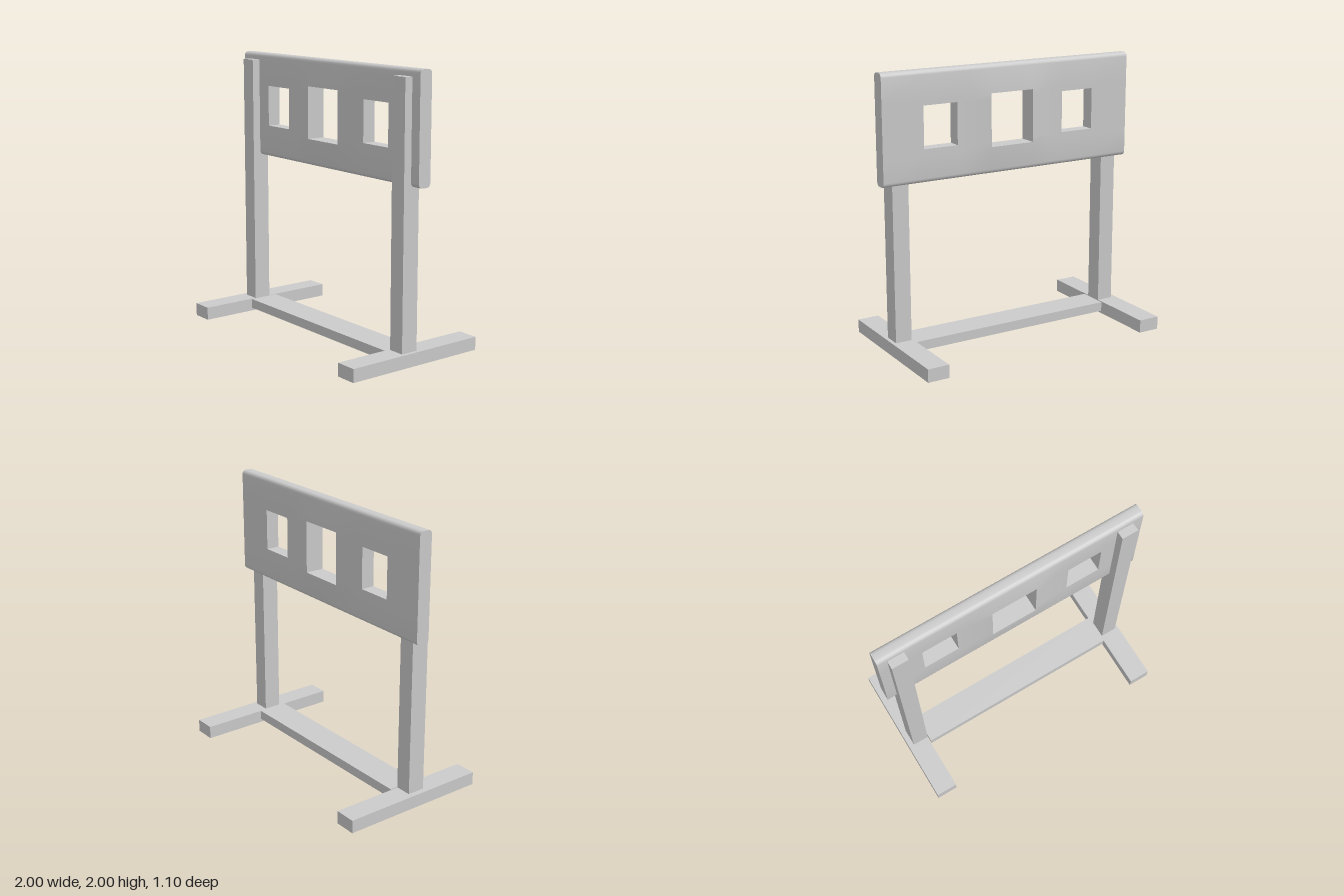
import * as THREE from 'three';
import { toCreasedNormals } from 'three/addons/utils/BufferGeometryUtils.js';

const material = new THREE.MeshStandardMaterial({ color: 0xcccccc, side: THREE.FrontSide });

// Box given by its min and max corners
function box(name, [x0, y0, z0], [x1, y1, z1]) {
  const mesh = new THREE.Mesh(new THREE.BoxGeometry(x1 - x0, y1 - y0, z1 - z0), material);
  mesh.position.set((x0 + x1) / 2, (y0 + y1) / 2, (z0 + z1) / 2);
  mesh.name = name;
  return mesh;
}

// Board: rounded cross-section swept along x, swelling around the middle opening
function boardGeometry() {
  const bottom = 1.225, top = 2, half = 0.05, r = 0.03, steps = 4;
  const xs = [-1, -0.69, -0.43, -0.33, -0.17, 0.17, 0.33, 0.43, 0.69, 1];
  const ys = [bottom + r, 1.42, 1.46, 1.76, 1.8, top - r];
  const holes = [[-0.69, -0.43, 1.46, 1.76], [-0.17, 0.17, 1.42, 1.8], [0.43, 0.69, 1.46, 1.76]];
  const ramp = (v, inner, outer) => THREE.MathUtils.clamp((v - inner) / (outer - inner), 0, 1);
  const depth = (x, y) => half + 0.02 * (1 - Math.max(
    ramp(Math.abs(x), 0.17, 0.33), ramp(y, 1.8, top - r), ramp(-y, -1.42, -bottom - r)));

  // Closed section: up the front, over the top, down the back, under the bottom
  const section = (x) => {
    const pts = ys.map((y) => [x, y, depth(x, y)]);
    const arc = (cz, cy, start) => {
      for (let k = 1; k <= steps; k++) {
        const a = start + (k / steps) * Math.PI / 2;
        pts.push([x, cy + r * Math.sin(a), cz + r * Math.cos(a)]);
      }
    };
    const c = half - r;
    arc(c, top - r, 0);
    pts.push([x, top, -c]);
    arc(-c, top - r, Math.PI / 2);
    [...ys].reverse().slice(1).forEach((y) => pts.push([x, y, -depth(x, y)]));
    arc(-c, bottom + r, Math.PI);
    pts.push([x, bottom, c]);
    arc(c, bottom + r, Math.PI * 1.5);
    pts.pop(); // same as the first point
    return pts;
  };

  const pos = [];
  const tri = (a, b, c) => pos.push(...a, ...b, ...c);
  const quad = (a, b, c, d) => { tri(a, b, c); tri(a, c, d); };
  const inHole = (x, y) => holes.some(([x0, x1, y0, y1]) => x > x0 && x < x1 && y > y0 && y < y1);

  // Outer skin, leaving out the openings
  const rings = xs.map(section);
  const n = rings[0].length;
  for (let i = 0; i < xs.length - 1; i++) {
    for (let j = 0; j < n; j++) {
      const k = (j + 1) % n, a = rings[i], b = rings[i + 1];
      if (!inHole((xs[i] + xs[i + 1]) / 2, (a[j][1] + a[k][1]) / 2)) quad(a[j], b[j], b[k], a[k]);
    }
  }

  // Flat ends
  const first = rings[0], last = rings[xs.length - 1], mid = (bottom + top) / 2;
  for (let j = 0; j < n; j++) {
    const k = (j + 1) % n;
    tri([-1, mid, 0], first[j], first[k]);
    tri([1, mid, 0], last[k], last[j]);
  }

  // Walls of the openings
  for (const [x0, x1, y0, y1] of holes) {
    const corners = [[x0, y0], [x1, y0], [x1, y1], [x0, y1]];
    corners.forEach(([ax, ay], i) => {
      const [bx, by] = corners[(i + 1) % 4], za = depth(ax, ay), zb = depth(bx, by);
      quad([ax, ay, za], [bx, by, zb], [bx, by, -zb], [ax, ay, -za]);
    });
  }

  const geometry = new THREE.BufferGeometry();
  geometry.setAttribute('position', new THREE.Float32BufferAttribute(pos, 3));
  return toCreasedNormals(geometry, 0.6);
}

export function createModel() {
  const model = new THREE.Group();
  model.name = 'pillory';

  const board = new THREE.Mesh(boardGeometry(), material);
  board.name = 'board';
  model.add(board);

  // Posts and feet, sitting slightly towards -x
  for (const [side, s] of [['left', 1], ['right', -1]]) {
    const px = s * 0.865 - 0.003, fx = s * 0.88 - 0.01;
    model.add(box(side + 'Post', [px - 0.061, 0.08, -0.02], [px + 0.061, 1.95, 0.11]));
    model.add(box(side + 'Foot', [fx - 0.08, 0, -0.55], [fx + 0.08, 0.095, 0.55]));
  }

  // Rail between the feet
  model.add(box('rail', [-0.8, 0.025, -0.075], [0.79, 0.095, 0.15]));
  return model;
}
